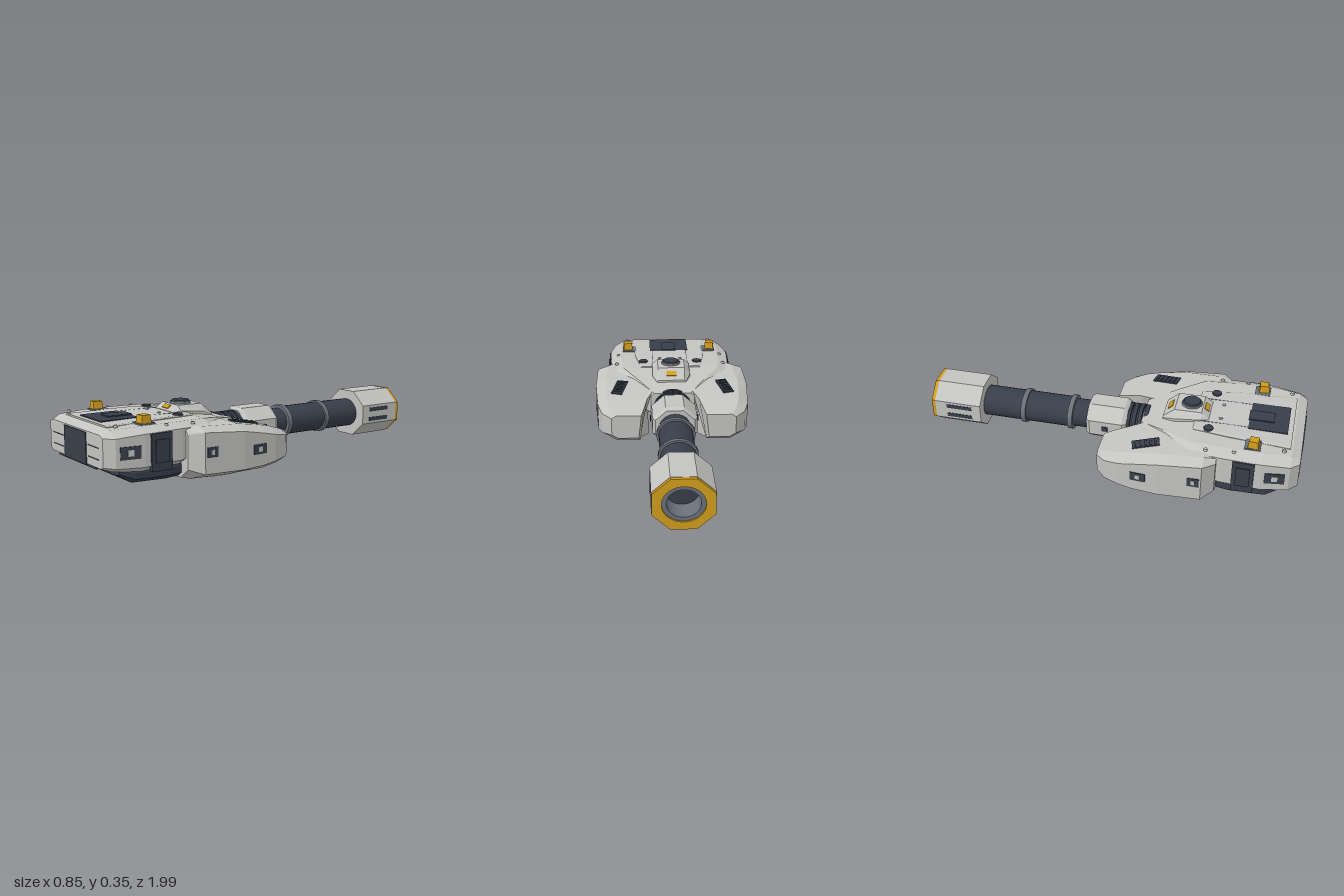
import * as THREE from 'three';

const mat = (name, color, side = THREE.FrontSide) => {
  const m = new THREE.MeshStandardMaterial({ color, side });
  m.name = name;
  return m;
};

export function createModel() {
  const light = mat('light armour', 0xc3c3c1);
  const dark = mat('dark steel', 0x383e4a);
  const grey = mat('mid grey', 0x6b717b);
  const gold = mat('gold', 0xd29d1c);
  const inner = mat('shadowed interior', 0x2c2826);
  const root = new THREE.Group();

  const add = (name, geo, material, x = 0, y = 0, z = 0) => {
    const m = new THREE.Mesh(geo, material);
    m.name = name;
    m.position.set(x, y, z);
    root.add(m);
    return m;
  };
  const box = (name, material, size, pos) => add(name, new THREE.BoxGeometry(...size), material, ...pos);
  const flat = (g) => {
    const n = g.index ? g.toNonIndexed() : g;
    n.computeVertexNormals();
    return n;
  };

  // Faceted skin over cross-sections [z, [[x, y], ...]], counter-clockwise seen from +z
  const loft = (stations) => {
    const n = stations[0][1].length, pos = [], idx = [];
    stations.forEach(([z, ring]) => ring.forEach(([x, y]) => pos.push(x, y, z)));
    for (let i = 0; i < stations.length - 1; i++) {
      for (let j = 0; j < n; j++) {
        const a = i * n + j, b = i * n + (j + 1) % n;
        idx.push(a, b, b + n, a, b + n, a + n);
      }
    }
    const e = (stations.length - 1) * n;
    for (let j = 1; j < n - 1; j++) idx.push(0, j + 1, j, e, e + j, e + j + 1);
    const g = new THREE.BufferGeometry();
    g.setAttribute('position', new THREE.Float32BufferAttribute(pos, 3));
    g.setIndex(idx);
    return flat(g);
  };
  const flip = (ring) => ring.map(([x, y]) => [-x, y]).reverse();
  const symmetric = (rows) => loft(rows.map(([z, half]) => [z, [...half, ...flip(half)]]));

  // Main hull, narrow at the gun end and broad at the front face
  const hullRow = (z, xb, yb, xm, yl, ys, xt, yt) => [z, [[xb, yb], [xm, yl], [xm, ys], [xt, yt]]];
  add('hull', symmetric([
    hullRow(0.15, 0.10, 0.13, 0.12, 0.14, 0.235, 0.10, 0.25),
    hullRow(0.28, 0.20, 0.13, 0.22, 0.15, 0.25, 0.18, 0.278),
    hullRow(0.43, 0.25, 0.13, 0.32, 0.15, 0.275, 0.27, 0.301),
    hullRow(0.60, 0.28, 0.09, 0.345, 0.13, 0.28, 0.285, 0.303),
    hullRow(0.80, 0.30, 0.09, 0.345, 0.12, 0.275, 0.29, 0.303),
    hullRow(0.94, 0.28, 0.105, 0.325, 0.125, 0.265, 0.27, 0.298),
    hullRow(0.985, 0.26, 0.12, 0.285, 0.13, 0.265, 0.255, 0.277),
  ]), light);
  add('topPlate', symmetric([
    hullRow(0.43, 0.17, 0.295, 0.17, 0.296, 0.303, 0.16, 0.308),
    hullRow(0.62, 0.20, 0.295, 0.20, 0.296, 0.307, 0.19, 0.311),
    hullRow(0.93, 0.22, 0.29, 0.22, 0.291, 0.302, 0.21, 0.306),
  ]), light);
  add('belly', symmetric([
    hullRow(0.50, 0.26, 0.04, 0.29, 0.06, 0.10, 0.28, 0.14),
    hullRow(0.65, 0.27, 0.032, 0.31, 0.055, 0.09, 0.30, 0.11),
    hullRow(0.83, 0.26, 0.035, 0.31, 0.06, 0.09, 0.30, 0.11),
    hullRow(0.90, 0.24, 0.075, 0.28, 0.085, 0.10, 0.27, 0.115),
  ]), dark);

  // Swept cheek armour either side of the gun
  const cheekRow = (z, ib, it, xb, xo, yb, yl, ys, yt, xt) =>
    [z, [[ib, yb], [xb, yb], [xo, yl], [xo, ys], [xt, yt], [it, yt]]];
  const cheek = [
    cheekRow(-0.03, 0.19, 0.175, 0.30, 0.335, 0.065, 0.085, 0.18, 0.195, 0.31),
    cheekRow(0.02, 0.18, 0.16, 0.31, 0.385, 0.035, 0.08, 0.19, 0.215, 0.34),
    cheekRow(0.10, 0.18, 0.14, 0.30, 0.41, 0.015, 0.07, 0.205, 0.24, 0.36),
    cheekRow(0.17, 0.19, 0.11, 0.30, 0.416, 0.015, 0.06, 0.22, 0.255, 0.365),
    cheekRow(0.30, 0.20, 0.13, 0.30, 0.425, 0.012, 0.055, 0.245, 0.275, 0.37),
    cheekRow(0.52, 0.22, 0.20, 0.29, 0.42, 0.015, 0.06, 0.262, 0.283, 0.36),
    cheekRow(0.58, 0.25, 0.25, 0.29, 0.36, 0.03, 0.08, 0.25, 0.27, 0.34),
  ];
  add('leftCheek', loft(cheek), light);
  add('rightCheek', loft(cheek.map(([z, r]) => [z, flip(r)])), light);

  // Turret ring below, open towards the gun
  const arc = new THREE.Shape();
  arc.absarc(0, 0, 0.28, -Math.PI * 1.27, Math.PI * 0.27, false);
  arc.absarc(0, 0, 0.205, Math.PI * 0.27, -Math.PI * 1.27, true);
  const ringGeo = new THREE.ExtrudeGeometry(arc, { depth: 0.13, bevelEnabled: false, curveSegments: 28 });
  ringGeo.rotateX(-Math.PI / 2);
  add('turretRing', ringGeo, light, 0, 0.004, 0.32);
  add('ringCeiling', new THREE.CircleGeometry(0.21, 32).rotateX(Math.PI / 2), inner, 0, 0.122, 0.32);

  // Gun parts along z, slightly squashed in height
  const axis = 0.178;
  const tube = (name, material, r, z0, z1, sides = 24, r2 = r) => {
    let g = new THREE.CylinderGeometry(r2, r, z1 - z0, sides);
    if (sides === 8) g = flat(g.rotateY(Math.PI / 8));
    g.rotateX(Math.PI / 2);
    const m = add(name, g, material, 0, axis, (z0 + z1) / 2);
    m.scale.y = 0.87;
    return m;
  };
  const octagon = (ap) => Array.from({ length: 8 }, (_, i) => {
    const a = (i + 0.5) * Math.PI / 4, r = ap / Math.cos(Math.PI / 8);
    return new THREE.Vector2(r * Math.cos(a), r * Math.sin(a));
  });
  const hollow = (name, material, points, hole, z0, z1) => {
    const s = new THREE.Shape(points);
    s.holes.push(new THREE.Path().absarc(0, 0, hole, 0, Math.PI * 2, true));
    const g = new THREE.ExtrudeGeometry(s, { depth: z1 - z0, bevelEnabled: false, curveSegments: 24 });
    add(name, g, material, 0, axis, z0).scale.y = 0.87;
  };
  const circle = (r) => new THREE.Path().absarc(0, 0, r, 0, Math.PI * 2, false).getPoints(24).slice(0, -1);

  tube('neck', dark, 0.085, 0.04, 0.22);
  for (const z of [0.075, 0.105, 0.135, 0.165]) tube('neckRib', dark, 0.102, z - 0.01, z + 0.01);
  tube('mantlet', light, 0.128, -0.125, 0.05, 8);
  tube('mantletEdge', light, 0.112, -0.145, -0.125, 8, 0.128);
  tube('mantletBackEdge', light, 0.128, 0.05, 0.07, 8, 0.112);
  tube('barrelSleeve', dark, 0.082, -0.25, -0.14);
  tube('barrel', dark, 0.09, -0.74, -0.24);
  for (const z of [-0.24, -0.5]) tube('barrelBand', grey, 0.101, z - 0.013, z + 0.013);
  hollow('muzzleBlock', light, octagon(0.145), 0.089, -0.98, -0.725);
  hollow('muzzleTrim', gold, octagon(0.143), 0.1, -0.999, -0.98);
  hollow('muzzleLiner', grey, circle(0.101), 0.078, -0.99, -0.86);
  add('bore', new THREE.CircleGeometry(0.09, 24).rotateY(Math.PI), dark, 0, axis, -0.87).scale.y = 0.87;

  // Commander's cupola, hatch and lamps
  add('cupolaSkirt', symmetric([
    hullRow(0.26, 0.07, 0.26, 0.08, 0.265, 0.28, 0.07, 0.285),
    hullRow(0.32, 0.10, 0.26, 0.105, 0.265, 0.30, 0.075, 0.338),
    hullRow(0.46, 0.10, 0.28, 0.105, 0.285, 0.315, 0.075, 0.34),
    hullRow(0.50, 0.08, 0.28, 0.085, 0.29, 0.308, 0.07, 0.312),
  ]), light);
  add('hatchRim', new THREE.CylinderGeometry(0.05, 0.055, 0.012, 20), grey, 0, 0.343, 0.4);
  add('hatch', new THREE.CylinderGeometry(0.042, 0.048, 0.011, 16), dark, 0, 0.351, 0.4);
  box('rearLamp', gold, [0.055, 0.006, 0.03], [0, 0.314, 0.291]).rotation.x = -0.72;
  box('frontLamp', gold, [0.055, 0.006, 0.025], [0, 0.328, 0.481]).rotation.x = 0.61;

  // Engine deck and front panel
  box('deckPanel', dark, [0.225, 0.008, 0.2], [0, 0.308, 0.805]);
  box('deckHatch', dark, [0.08, 0.008, 0.13], [0, 0.314, 0.765]);
  box('frontPanel', dark, [0.235, 0.155, 0.009], [0, 0.193, 0.985]);
  box('frontSill', dark, [0.40, 0.012, 0.05], [0, 0.113, 0.955]);

  // Paired fittings
  for (const s of [-1, 1]) {
    box('beaconPad', grey, [0.08, 0.008, 0.08], [s * 0.235, 0.306, 0.745]);
    const b = add('beacon', flat(new THREE.CylinderGeometry(0.032, 0.039, 0.046, 4).rotateY(Math.PI / 4)), gold, s * 0.245, 0.325, 0.75);
    b.rotation.y = s * 0.1;
    add('deckBolt', new THREE.CylinderGeometry(0.025, 0.027, 0.012, 8), dark, s * 0.155, 0.311, 0.51);
    const grille = new THREE.Group();
    grille.name = 'cheekGrille';
    grille.position.set(s * 0.292, 0.264, 0.215);
    grille.rotation.set(-0.153, -s * 0.25, 0, 'YXZ');
    root.add(grille);
    const plate = new THREE.Mesh(new THREE.BoxGeometry(0.06, 0.009, 0.14), dark);
    plate.name = 'grillePlate';
    grille.add(plate);
    for (let i = -2; i <= 2; i++) {
      const bar = new THREE.Mesh(new THREE.BoxGeometry(0.045, 0.006, 0.009), dark);
      bar.name = 'grilleBar';
      bar.position.set(0, 0.006, i * 0.025);
      grille.add(bar);
    }
    box('sidePanel', dark, [0.022, 0.18, 0.11], [s * 0.343, 0.185, 0.715]);
    box('sidePanelRib', dark, [0.01, 0.11, 0.07], [s * 0.355, 0.19, 0.715]);
    const vents = [[0.336, 0.195, 0.87, 0.1, 0.06, -0.14], [0.42, 0.165, 0.48, 0.06, 0.05, 0], [0.417, 0.145, 0.2, 0.08, 0.05, 0.07]];
    for (const [x, y, z, w, h, turn] of vents) {
      box('sideVent', dark, [0.008, h, w], [s * x, y, z]).rotation.y = s * turn;
      box('ventFrame', light, [0.008, h * 0.5, w * 0.3], [s * (x + 0.003), y, z]).rotation.y = s * turn;
    }
    for (const y of [0.205, 0.15]) box('muzzleSlot', dark, [0.008, 0.022, 0.14], [s * 0.143, y, -0.845]);
    box('mantletVent', dark, [0.006, 0.025, 0.03], [s * 0.127, 0.185, -0.04]);
    for (const y of [0.16, 0.215]) box('frontGroove', grey, [0.11, 0.004, 0.006], [s * 0.19, y, 0.985]);
    box('deckSeam', grey, [0.004, 0.004, 0.3], [s * 0.1, 0.309, 0.57]);
    for (const [x, z] of [[0.31, 0.52], [0.3, 0.66], [0.25, 0.9], [0.06, 0.56]])
      add('rivet', new THREE.CylinderGeometry(0.009, 0.011, 0.012, 6), light, s * x, x === 0.31 ? 0.295 : x === 0.3 ? 0.299 : 0.309, z);
  }
  return root;
}
